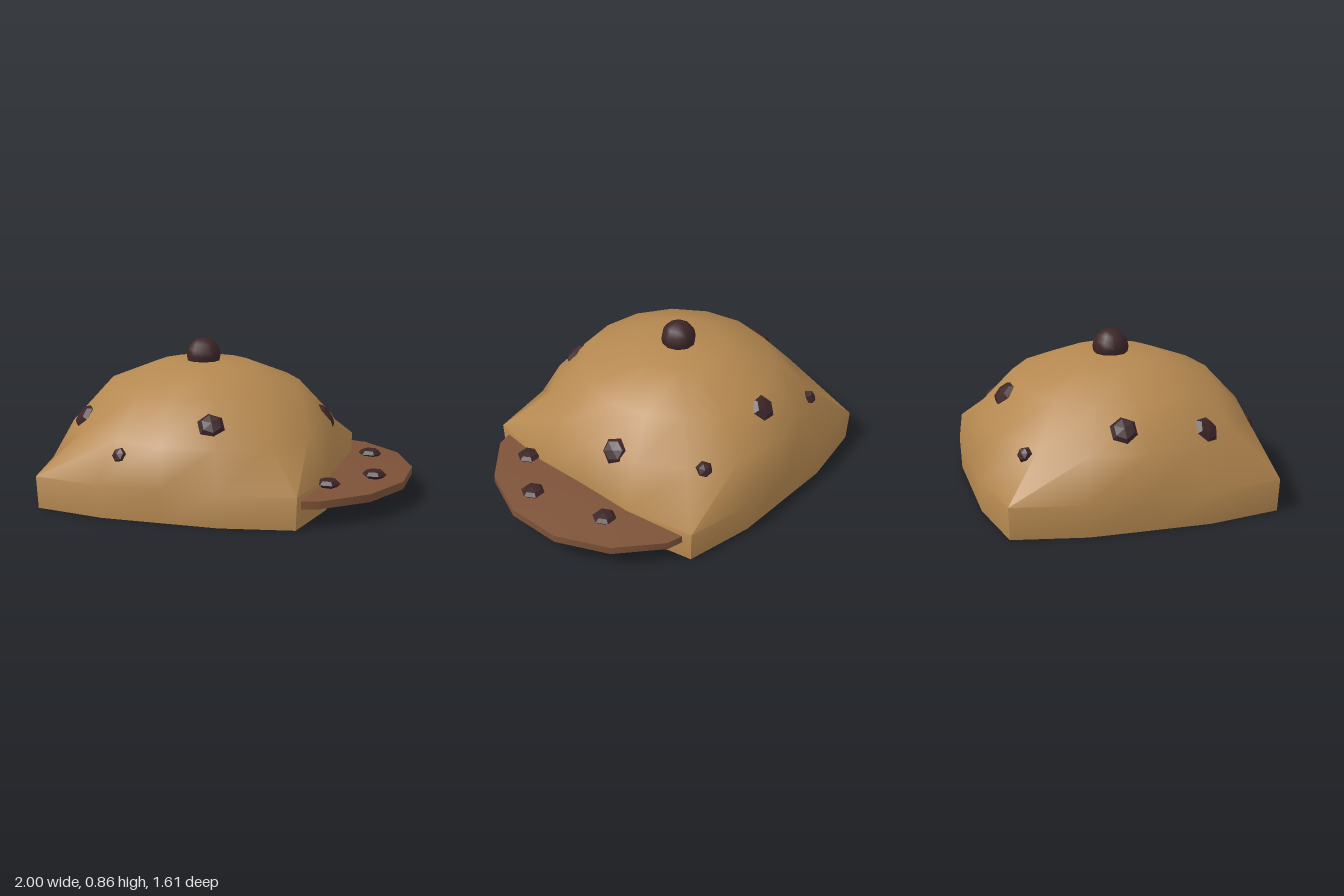
import * as THREE from 'three';
import { toCreasedNormals } from 'three/addons/utils/BufferGeometryUtils.js';

const CX = -0.19; // centre of the crown

// Skin closed rings of [x, y, z] points, listed from the bottom up
function loft(rings, crease) {
  const n = rings[0].length;
  const index = [];
  for (let i = 0; i < rings.length - 1; i++) {
    for (let j = 0; j < n; j++) {
      const a = i * n + j, b = i * n + (j + 1) % n;
      index.push(a, a + n, b, b, a + n, b + n);
    }
  }
  const geo = new THREE.BufferGeometry();
  geo.setAttribute('position', new THREE.Float32BufferAttribute(rings.flat(2), 3));
  geo.setIndex(index);
  return toCreasedNormals(geo, crease);
}

// Square foot with bowed sides, 16 points
function squareRing(y, s) {
  const ring = [];
  for (let q = 0; q < 4; q++) {
    const c = Math.round(Math.cos(q * Math.PI / 2)), d = Math.round(Math.sin(q * Math.PI / 2));
    for (const [u, v] of [[0.805, 0], [0.805, 0.33], [0.73, 0.73], [0.33, 0.805]]) {
      ring.push([(u * c - v * d) * s, y, (u * d + v * c) * s]);
    }
  }
  return ring;
}

function roundRing(y, r) {
  return Array.from({ length: 16 }, (_, j) => {
    const a = j * Math.PI / 8;
    return [Math.cos(a) * r, y, Math.sin(a) * r];
  });
}

export function createModel() {
  const group = new THREE.Group();
  const dough = new THREE.MeshStandardMaterial({ name: 'cookie dough', color: 0xb58850 });
  const brown = new THREE.MeshStandardMaterial({ name: 'brim brown', color: 0x7d5238 });
  const chocolate = new THREE.MeshStandardMaterial({ name: 'dark chocolate', color: 0x3d2527 });

  const add = (name, geo, mat) => {
    const mesh = new THREE.Mesh(geo, mat);
    mesh.name = name;
    group.add(mesh);
    return mesh;
  };

  // Crown: square foot blending into a round dome
  const crown = add('crown', loft([
    squareRing(0, 0), squareRing(0, 0.99), squareRing(0.18, 1),
    roundRing(0.4, 0.745), roundRing(0.605, 0.555), roundRing(0.718, 0.275), roundRing(0.74, 0),
  ], 0.9), dough);
  crown.position.x = CX;

  // Brim: half-round plate, gently domed above and below
  const half = [[0.54, 0.675], [0.64, 0.65], [0.87, 0.45], [1.0, 0.16]];
  const outline = [...half.map(([x, z]) => [x, -z]), ...half.slice().reverse()];
  const brimRing = (y, s) => outline.map(([x, z]) => [0.54 + (x - 0.54) * s, y, z * s]);
  add('brim', loft([
    brimRing(0.06, 0), brimRing(0.07, 0.5), brimRing(0.103, 1),
    brimRing(0.146, 1), brimRing(0.172, 0.5), brimRing(0.18, 0),
  ], 0.6), brown);

  // Top button
  add('topButton', new THREE.SphereGeometry(0.1, 10, 8), chocolate).position.set(CX, 0.762, 0);

  // Chocolate chips: squashed six-sided lumps
  const chipGeo = toCreasedNormals(new THREE.SphereGeometry(1, 6, 4), 0.4);
  const up = new THREE.Vector3(0, 1, 0);
  const chip = (name, x, y, z, r, thick, normal) => {
    const mesh = add(name, chipGeo, chocolate);
    mesh.position.set(x, y, z);
    mesh.scale.set(r, thick, r);
    mesh.quaternion.setFromUnitVectors(up, normal);
  };

  // Chips on the crown, turned to follow its surface
  for (const [x, y, z, r] of [
    [-0.43, 0.33, 0.72, 0.05], [0.04, 0.495, 0.6, 0.078], [-0.78, 0.44, 0.36, 0.078],
    [-0.82, 0.495, -0.1, 0.08], [0.495, 0.415, -0.14, 0.08], [-0.21, 0.545, -0.6, 0.078],
    [-0.68, 0.36, -0.59, 0.045], [0.27, 0.385, -0.585, 0.05],
  ]) {
    const normal = new THREE.Vector3((x - CX) / 0.65, y / 0.55, z / 0.65).normalize();
    chip('crownChip', x, y, z, r, 0.035, normal);
  }

  // Chips on the brim
  for (const [x, z] of [[0.735, -0.28], [0.84, 0.165], [0.635, 0.41]]) {
    chip('brimChip', x, 0.178, z, 0.067, 0.027, up);
  }
  return group;
}
